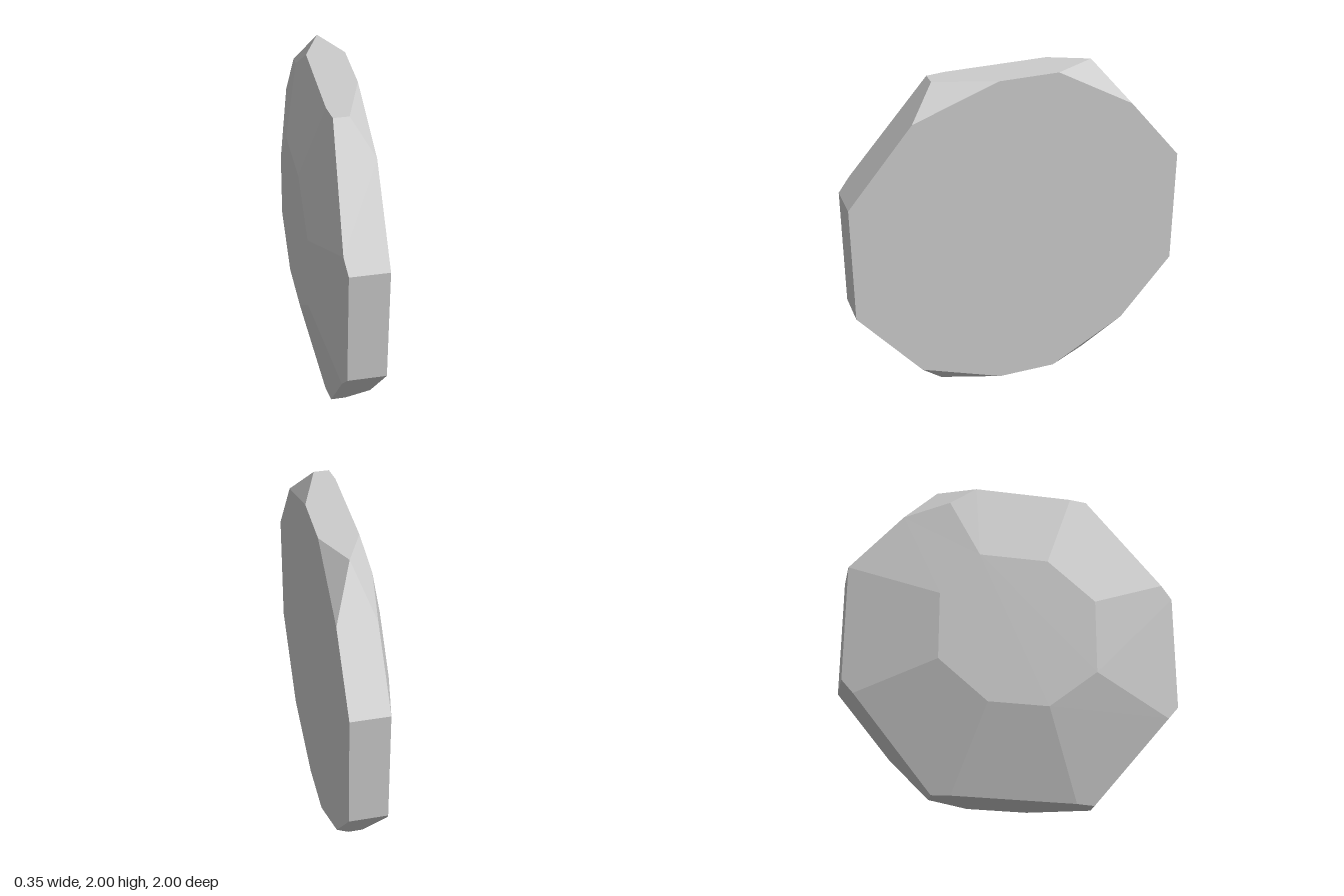
import * as THREE from 'three';

const v = (x, y, z) => new THREE.Vector3(x, y, z);
const BACK = -0.173, FACE = 0.173, RIM = -0.05;

// Plane through three points, its normal turned away from the middle of the slab
function facet(a, b, c) {
  const plane = new THREE.Plane().setFromCoplanarPoints(v(...a), v(...b), v(...c));
  return plane.distanceToPoint(v(0, 1, 0)) > 0 ? plane.negate() : plane;
}

// Solid enclosed by a list of planes: find the corners, then fan each face
function cutSolid(planes) {
  const corners = [];
  for (let i = 0; i < planes.length; i++)
    for (let j = i + 1; j < planes.length; j++)
      for (let k = j + 1; k < planes.length; k++) {
        const [p, q, r] = [planes[i], planes[j], planes[k]];
        const qr = q.normal.clone().cross(r.normal);
        const det = p.normal.dot(qr);
        if (Math.abs(det) < 1e-4) continue;
        const pt = qr.multiplyScalar(-p.constant)
          .addScaledVector(r.normal.clone().cross(p.normal), -q.constant)
          .addScaledVector(p.normal.clone().cross(q.normal), -r.constant)
          .divideScalar(det);
        if (planes.some(s => s.distanceToPoint(pt) > 1e-5)) continue;
        if (!corners.some(c => c.distanceTo(pt) < 1e-3)) corners.push(pt);
      }
  const pos = [];
  for (const { normal: n, constant } of planes) {
    const ring = corners.filter(c => Math.abs(n.dot(c) + constant) < 5e-4);
    if (ring.length < 3) continue;
    const mid = ring.reduce((s, c) => s.add(c), v(0, 0, 0)).divideScalar(ring.length);
    const u = ring[0].clone().sub(mid).normalize();
    const w = n.clone().cross(u);
    const angle = c => { const d = c.clone().sub(mid); return Math.atan2(d.dot(w), d.dot(u)); };
    ring.sort((a, b) => angle(a) - angle(b));
    for (let i = 1; i < ring.length - 1; i++)
      for (const c of [ring[0], ring[i], ring[i + 1]]) pos.push(c.x, c.y, c.z);
  }
  const geo = new THREE.BufferGeometry();
  geo.setAttribute('position', new THREE.Float32BufferAttribute(pos, 3));
  geo.computeVertexNormals();
  return geo;
}

export function createModel() {
  const group = new THREE.Group();
  group.name = 'facetedSlab';
  const grey = new THREE.MeshStandardMaterial({ color: 0xcccccc, flatShading: true });
  grey.name = 'light grey';

  // Large flat face and the smaller one opposite
  const planes = [
    facet([FACE, 0, 0], [FACE, 1, 0], [FACE, 0, 1]),
    facet([BACK, 0, 0], [BACK, 1, 0], [BACK, 0, 1]),
  ];

  // Sides of the octagon and the shallow bevels behind them
  for (const s of [-1, 1]) {
    planes.push(
      facet([0, 1 + s, 0], [1, 1 + s, 0], [0, 1 + s, 1]),
      facet([0, 0, s], [1, 0, s], [0, 1, s]),
      facet([RIM, 1 + s, 0], [RIM, 1 + s, 1], [BACK, 1 + 0.47 * s, 0]),
      facet([RIM, 0, s], [RIM, 1, s], [BACK, 0, 0.47 * s]));
  }

  for (const sy of [-1, 1]) for (const sz of [-1, 1]) {
    const at = (x, y, z) => [x, 1 + sy * y, sz * z];
    // Diagonal side
    planes.push(facet(at(0, 1, 0.47), at(1, 1, 0.47), at(0, 0.36, 1)));
    // Chipped corner of the large face
    planes.push(sz > 0
      ? facet(at(0.055, 1, 0.47), at(FACE, 0.82, 0.619), at(FACE, 1, 0.12))
      : facet(at(0.055, 1, 0.47), at(FACE, 0.74, 0.685), at(FACE, 1, 0.23)));
    // Diagonal bevel; the upper rear one also has a steep chip
    if (sy > 0 && sz < 0) {
      planes.push(
        facet(at(RIM, 0.36, 1), at(RIM, 1, 0.47), at(BACK, 0.47, 0.235)),
        facet(at(RIM, 1, 0.24), at(0.055, 1, 0.47), at(RIM, 0.74, 0.685)));
    } else {
      planes.push(facet(at(BACK, 0.47, 0.18), at(BACK, 0.23, 0.47), at(-0.034, 1, 0.47)));
    }
  }

  const slab = new THREE.Mesh(cutSolid(planes), grey);
  slab.name = 'slab';
  group.add(slab);
  return group;
}
